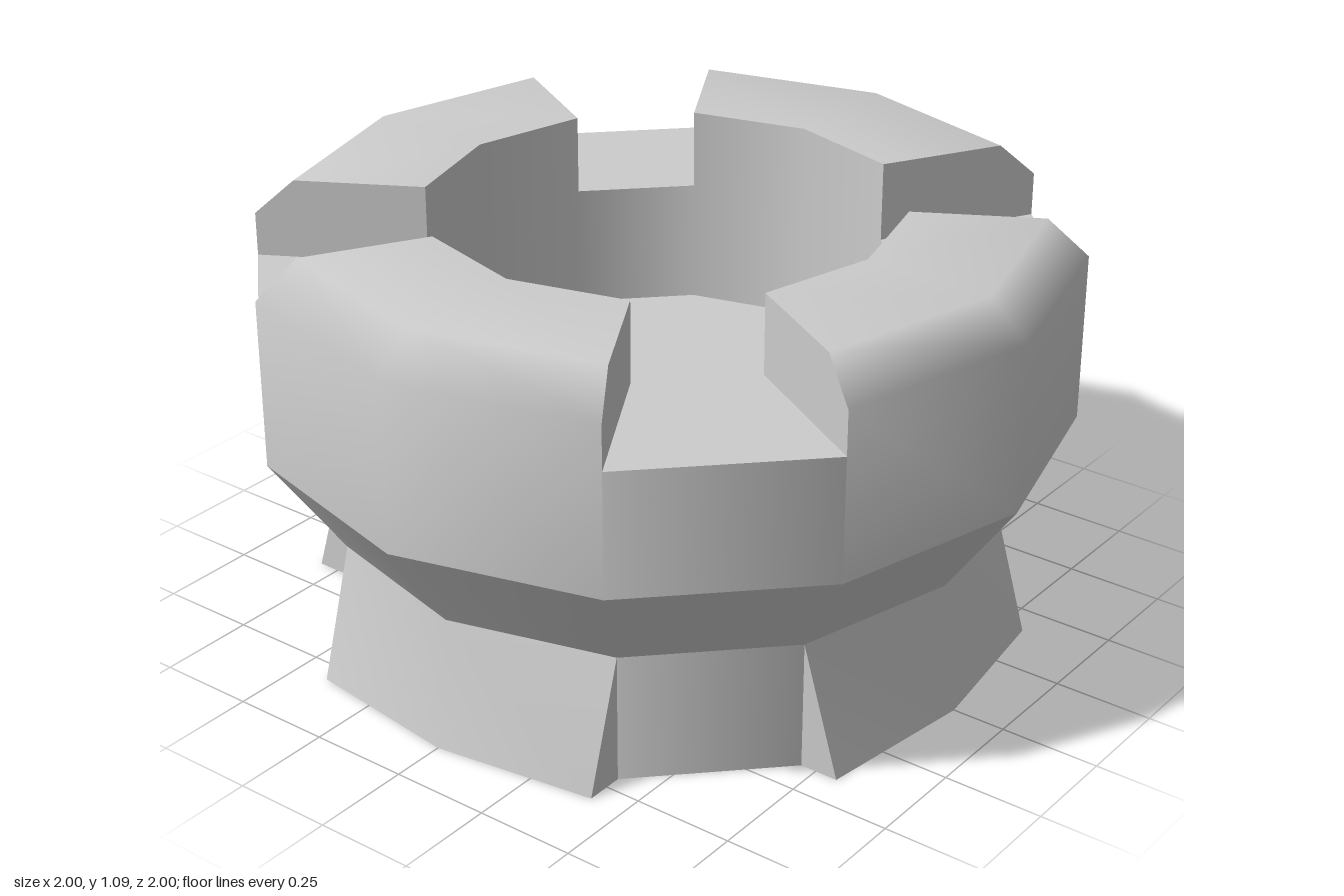
import * as THREE from 'three';

const STEP = Math.PI / 6; // twelve-sided plan
const NECK = 0.82, FOOT_TIP = 0.865, FOOT_CORNER = 0.807;
const HOLE = 0.577, NECK_Y = 0.325, RIM_Y = 0.58, NOTCH_Y = 0.89, TOP_Y = 1.09;

const v2 = (pts) => pts.map(([x, y]) => new THREE.Vector2(x, y));

// Turned strip covering `sides` of the twelve sides, starting at side `first`
const turned = (pts, first = 0, sides = 12) =>
  new THREE.LatheGeometry(v2(pts), sides, first * STEP, sides * STEP);

export function createModel() {
  const model = new THREE.Group();
  const material = new THREE.MeshStandardMaterial({ color: 0xcccccc });
  const thin = new THREE.MeshStandardMaterial({ color: 0xcccccc, side: THREE.DoubleSide });

  const add = (parent, name, geometry, mat = material) => {
    const mesh = new THREE.Mesh(geometry, mat);
    mesh.name = name;
    parent.add(mesh);
    return mesh;
  };

  // Flaring underside of the rim and floor of the hollow
  add(model, 'flare', turned([[NECK, NECK_Y], [1, RIM_Y]]));
  add(model, 'hollowFloor', new THREE.CircleGeometry(HOLE, 12).rotateX(-Math.PI / 2)).position.y = RIM_Y;

  // Cross-section of a battlement above the notch floor
  const section = new THREE.ShapeGeometry(new THREE.Shape(v2([
    [HOLE, NOTCH_Y], [1, NOTCH_Y], [1, 1], [0.9, TOP_Y], [HOLE, TOP_Y],
  ])));

  // Corner of the neck and of the flared foot, for the quarter facing +z
  const cx = NECK * Math.sin(STEP), cz = NECK * Math.cos(STEP);
  const soleOutline = [];

  for (let q = 0; q < 4; q++) {
    const quarter = new THREE.Group();
    quarter.name = 'quarter' + (q + 1);
    quarter.rotation.y = q * Math.PI / 2;
    model.add(quarter);

    // Battlement: outer wall, bevel and top, then inner wall and ends
    add(quarter, 'battlement', turned([[1, RIM_Y], [1, 1], [0.9, TOP_Y], [HOLE, TOP_Y]], -1, 2));
    add(quarter, 'battlementInside', turned([[HOLE, TOP_Y], [HOLE, RIM_Y]], -1, 2));
    for (const s of [-1, 1]) {
      add(quarter, 'battlementEnd', section, thin).rotation.y = s * STEP - Math.PI / 2;
    }

    // Notch between battlements
    add(quarter, 'notchOuterWall', turned([[1, RIM_Y], [1, NOTCH_Y]], 1, 1));
    add(quarter, 'notchFloor', turned([[1, NOTCH_Y], [HOLE, NOTCH_Y]], 1, 1));
    add(quarter, 'notchInnerWall', turned([[HOLE, NOTCH_Y], [HOLE, RIM_Y]], 1, 1));

    // Recessed neck panel
    add(quarter, 'neckPanel', turned([[NECK, 0], [NECK, NECK_Y]], 1, 1));

    // Foot: neck wall with its lower edge pushed straight outward
    const foot = turned([[NECK, 0], [NECK, NECK_Y]], -1, 2);
    const p = foot.attributes.position;
    for (let i = 0; i < p.count; i++) {
      if (p.getY(i) < 0.01) p.setZ(i, Math.abs(p.getX(i)) < 0.01 ? FOOT_TIP : FOOT_CORNER);
    }
    foot.computeVertexNormals();
    add(quarter, 'foot', foot);

    // Triangular cheeks closing the foot
    for (const s of [-1, 1]) {
      const cheek = new THREE.ShapeGeometry(new THREE.Shape(v2([[cz, 0], [FOOT_CORNER, 0], [cz, NECK_Y]])));
      const mesh = add(quarter, 'footCheek', cheek, thin);
      mesh.rotation.y = -Math.PI / 2;
      mesh.position.x = s * cx;
    }

    // Sole outline, turned a quarter at a time
    const c = Math.round(Math.cos(q * Math.PI / 2)), s = Math.round(Math.sin(q * Math.PI / 2));
    for (const [x, z] of [[-cx, cz], [-cx, FOOT_CORNER], [0, FOOT_TIP], [cx, FOOT_CORNER], [cx, cz]]) {
      soleOutline.push([c * x + s * z, c * z - s * x]);
    }
  }

  add(model, 'sole', new THREE.ShapeGeometry(new THREE.Shape(v2(soleOutline))).rotateX(Math.PI / 2));
  return model;
}
